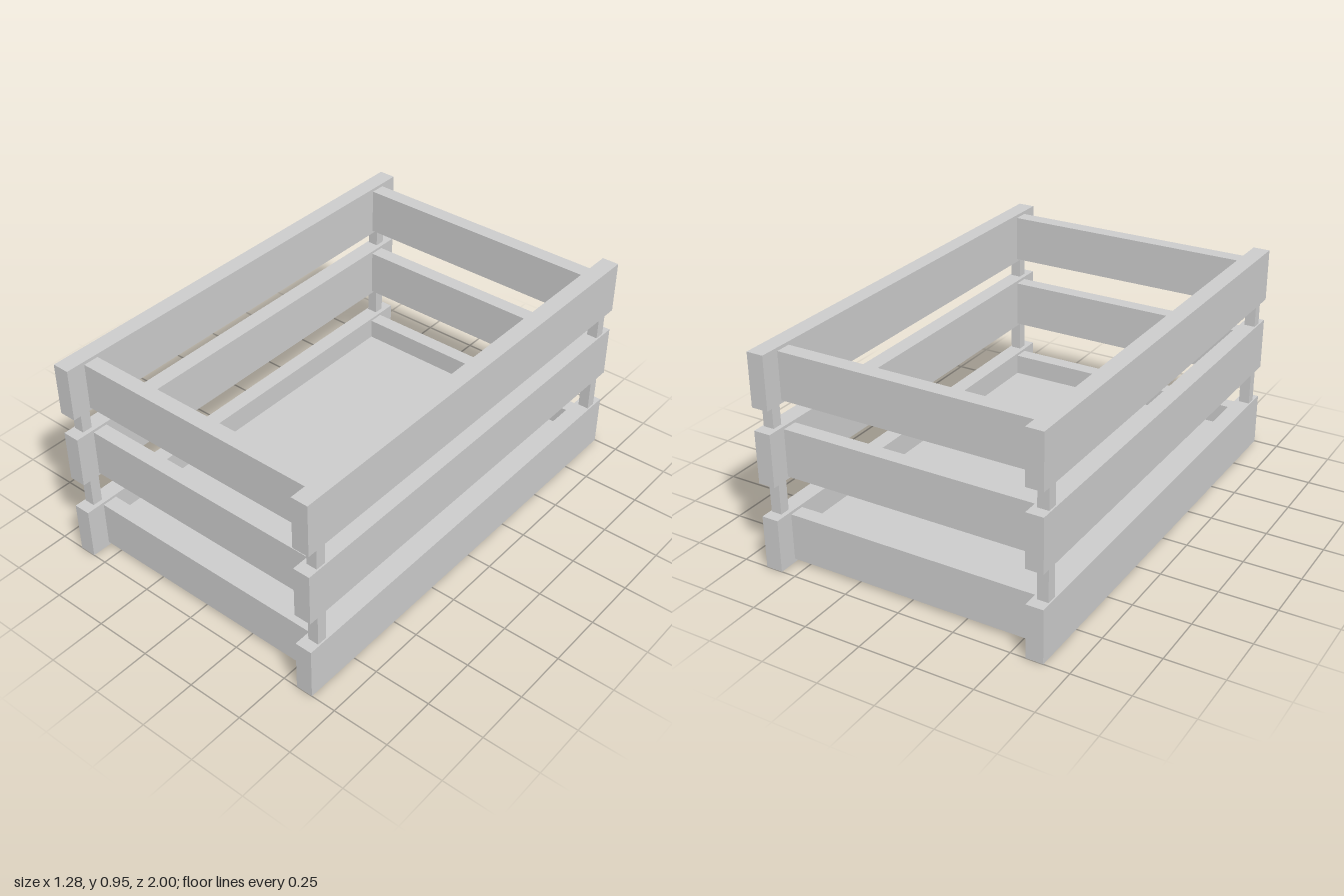
import * as THREE from 'three';

const material = new THREE.MeshStandardMaterial({ color: 0xcccccc, flatShading: true });

// Box given by its [min, max] extent along each axis
function box(name, [x0, x1], [y0, y1], [z0, z1]) {
  const mesh = new THREE.Mesh(new THREE.BoxGeometry(x1 - x0, y1 - y0, z1 - z0), material);
  mesh.position.set((x0 + x1) / 2, (y0 + y1) / 2, (z0 + z1) / 2);
  mesh.name = name;
  return mesh;
}

// Extent mirrored to the chosen side of the centre
const mirrored = (a, b, side) => (side > 0 ? [a, b] : [-b, -a]);

export function createModel() {
  const crate = new THREE.Group();
  crate.name = 'slattedCrate';

  const sideRows = [[0, 0.235], [0.385, 0.617], [0.717, 0.95]];
  const endRows = [[0.016, 0.223], [0.396, 0.605], [0.73, 0.936]];

  for (const s of [1, -1]) {
    const sideName = s > 0 ? 'left' : 'right';
    const endName = s > 0 ? 'front' : 'back';

    // Long side planks
    sideRows.forEach((y, i) =>
      crate.add(box(`${sideName}Plank${i + 1}`, mirrored(0.565, 0.64, s), y, [-1, 1])));

    // Shorter end slats held between the side planks
    endRows.forEach((y, i) =>
      crate.add(box(`${endName}Slat${i + 1}`, [-0.567, 0.567], y, mirrored(0.847, 0.915, s))));

    // Thin corner posts running through the planks
    for (const e of [1, -1])
      crate.add(box(`${sideName}${e > 0 ? 'Front' : 'Back'}Post`,
        mirrored(0.585, 0.633, s), [0.02, 0.93], mirrored(0.905, 0.951, e)));
  }

  // Floor panel, raised above the lower edges
  crate.add(box('floor', [-0.567, 0.567], [0.075, 0.13], [-0.85, 0.85]));

  return crate;
}
